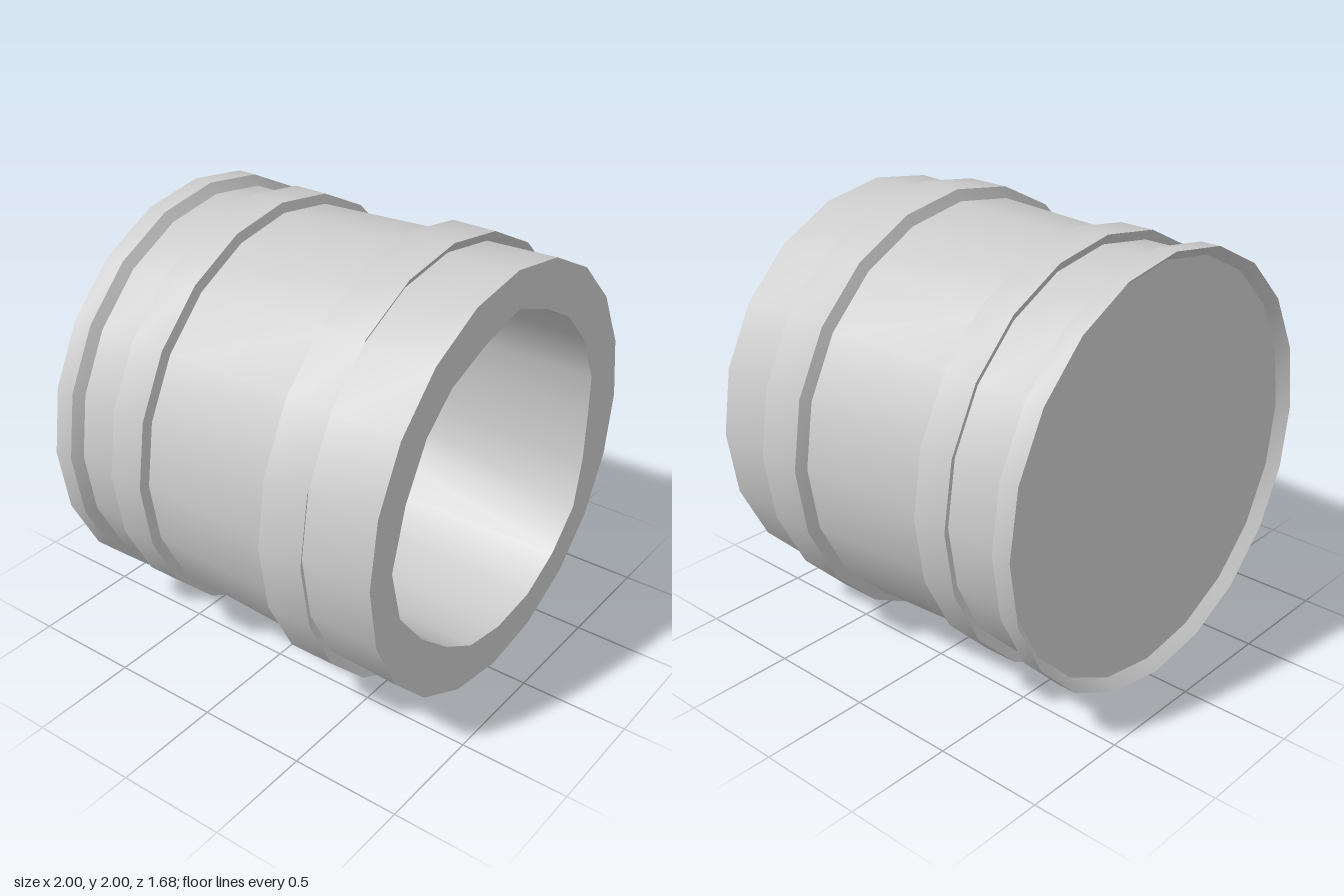
import * as THREE from 'three';
import { toCreasedNormals } from 'three/addons/utils/BufferGeometryUtils.js';

const SIDES = 20;
const FRONT = 0.84;
const BORE_END = -0.78;

export function createModel() {
  const model = new THREE.Group();
  const material = new THREE.MeshStandardMaterial({ color: 0xcccccc });
  const barrel = new THREE.Group();
  barrel.name = 'barrel';
  barrel.position.y = 1;
  model.add(barrel);

  function add(name, geometry) {
    const mesh = new THREE.Mesh(geometry, material);
    mesh.name = name;
    barrel.add(mesh);
    return mesh;
  }

  // Outer shell as [radius, z], from the dished back to the front edge
  const profile = [
    [0, -0.79], [0.92, -0.79],
    [0.966, -0.84], [0.966, -0.75], [0.92, -0.72],   // back flange
    [0.92, -0.48], [0.966, -0.505], [0.966, -0.34], [0.922, -0.33], // middle band
    [0.95, 0.31], [1, 0.33], [1, 0.54], [0.953, 0.51], // front collar
    [0.963, FRONT],
  ].map(([r, z]) => new THREE.Vector2(r, z));
  const shell = new THREE.LatheGeometry(profile, SIDES);
  shell.rotateX(Math.PI / 2);
  shell.deleteAttribute('uv');
  add('outerShell', toCreasedNormals(shell, 0.4));

  // Slightly uneven bore opening, clockwise from the top
  const rim = [
    [0.02, 0.79], [0.24, 0.71], [0.44, 0.6], [0.6, 0.43], [0.71, 0.2],
    [0.71, 0], [0.7, -0.23], [0.65, -0.46], [0.48, -0.63], [0.27, -0.74],
    [0.02, -0.77], [-0.21, -0.73], [-0.41, -0.61], [-0.6, -0.45], [-0.76, -0.25],
    [-0.82, 0], [-0.74, 0.27], [-0.61, 0.5], [-0.45, 0.64], [-0.22, 0.73],
  ].map(([x, y]) => new THREE.Vector2(x, y));

  // The bore pinches a little at the upper left of its far end
  const end = rim.map((p) => p.clone());
  end[2].set(0.43, 0.56);
  end[3].set(0.585, 0.41);
  end[4].set(0.66, 0.2);

  // Front ring around the opening
  const outline = [];
  for (let i = 0; i < SIDES; i++) {
    const a = (i / SIDES) * Math.PI * 2;
    outline.push(new THREE.Vector2(0.963 * Math.cos(a), 0.963 * Math.sin(a)));
  }
  const face = new THREE.Shape(outline);
  face.holes.push(new THREE.Path(rim));
  add('frontRing', new THREE.ShapeGeometry(face)).position.z = FRONT;

  // Bore wall, facing inwards
  const positions = [];
  for (let i = 0; i < SIDES; i++) {
    const j = (i + 1) % SIDES;
    const a = [rim[i].x, rim[i].y, FRONT];
    const b = [rim[j].x, rim[j].y, FRONT];
    const c = [end[i].x, end[i].y, BORE_END];
    const d = [end[j].x, end[j].y, BORE_END];
    positions.push(...a, ...c, ...b, ...b, ...c, ...d);
  }
  const wall = new THREE.BufferGeometry();
  wall.setAttribute('position', new THREE.Float32BufferAttribute(positions, 3));
  add('boreWall', toCreasedNormals(wall, 0.7));

  // Bore floor
  add('boreFloor', new THREE.ShapeGeometry(new THREE.Shape(end))).position.z = BORE_END;

  return model;
}
